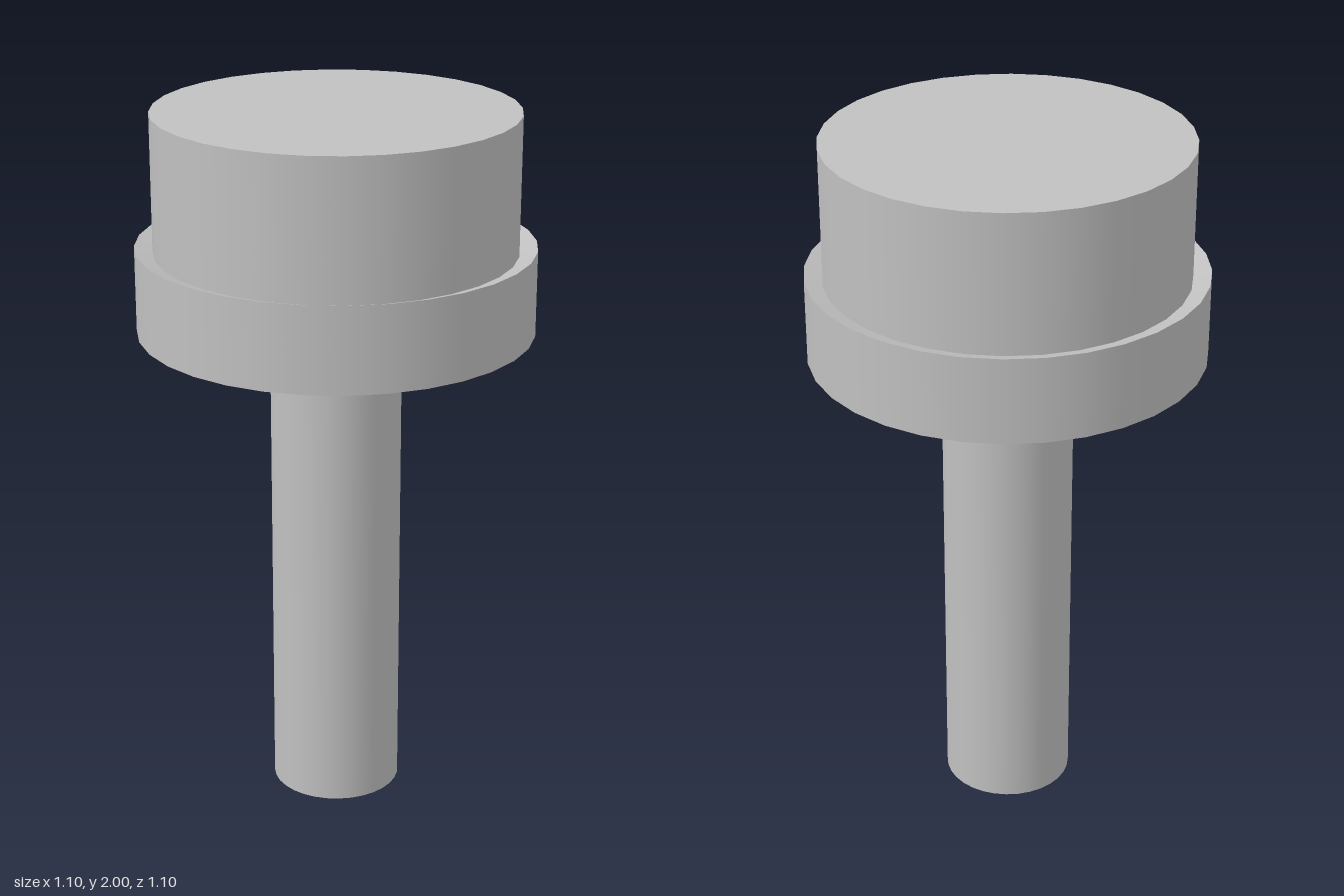
import * as THREE from 'three';

const SIDES = 32;

export function createModel() {
  const model = new THREE.Group();
  const grey = new THREE.MeshStandardMaterial({ color: 0xc0c0c0, side: THREE.DoubleSide });
  grey.name = 'plain grey';

  const add = (name, geometry, parent = model) => {
    const mesh = new THREE.Mesh(geometry, grey);
    mesh.name = name;
    parent.add(mesh);
    return mesh;
  };

  // Open band between a bottom and a top circle, smooth around, sharp at its rims
  const band = (name, rBottom, yBottom, rTop, yTop) => {
    const g = new THREE.CylinderGeometry(rTop, rBottom, yTop - yBottom, SIDES, 1, true);
    return add(name, g.translate(0, (yBottom + yTop) / 2, 0));
  };

  // Flat disc facing up (1) or down (-1)
  const disc = (name, radius, y, facing) =>
    add(name, new THREE.CircleGeometry(radius, SIDES).rotateX(-facing * Math.PI / 2).translate(0, y, 0));

  // Hollow shaft, open at the foot
  band('shaft', 0.183, 0, 0.183, 1.44);

  // Head: wall, top, tapered underside
  band('headWall', 0.5, 1.5, 0.5, 2);
  disc('headTop', 0.5, 2, 1);
  band('headTaper', 0.405, 1.44, 0.5, 1.5);
  disc('headUnderside', 0.405, 1.44, -1);

  // Skirt around the head, with a shallow ledge sloping in to the wall
  band('skirt', 0.55, 1.39, 0.55, 1.63);
  const ledge = new THREE.CylinderGeometry(0.55, 0.5, 0.016, SIDES, 1, true);
  add('skirtLedge', ledge.translate(0, 1.622, 0));

  // Pegs around the top of the shaft, with a gap at the back
  const pegs = new THREE.Group();
  pegs.name = 'pegs';
  model.add(pegs);
  for (let i = -1; i < 5; i++) {
    const a = (i + 0.5) * Math.PI / 4;
    const peg = add('peg', new THREE.CylinderGeometry(0.011, 0.011, 0.087, 10), pegs);
    peg.position.set(0.187 * Math.cos(a), 1.3985, 0.187 * Math.sin(a));
  }

  // Small nubs at the edge of the underside
  for (const [x, z] of [[-0.02, 0.42], [-0.42, -0.16]]) {
    add('nub', new THREE.CylinderGeometry(0.014, 0.014, 0.03, 10)).position.set(x, 1.45, z);
  }

  return model;
}
